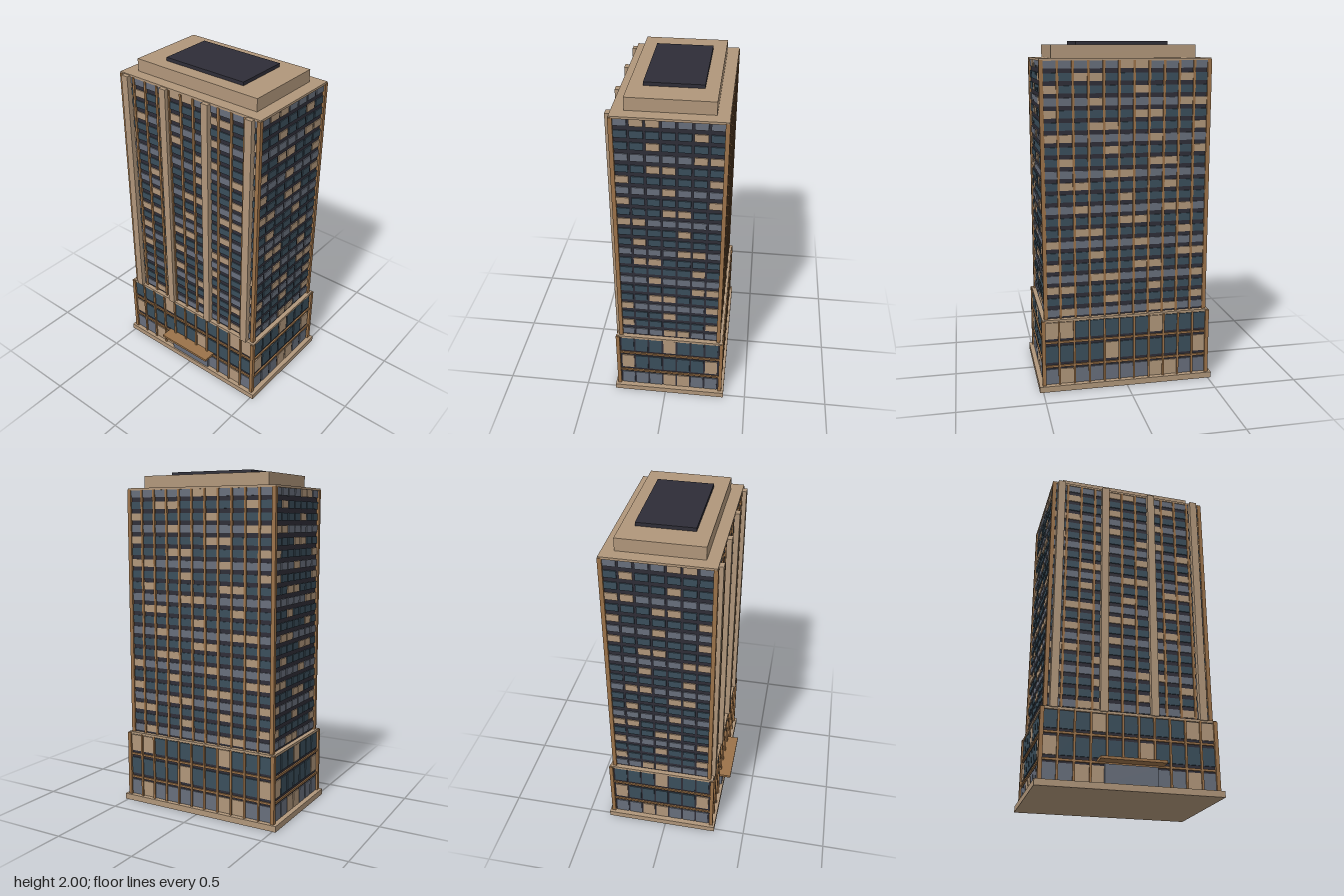
import * as THREE from 'three';
import { mergeGeometries } from 'three/addons/utils/BufferGeometryUtils.js';

const material = (name, color) => {
  const m = new THREE.MeshStandardMaterial({ color });
  m.name = name;
  return m;
};

const ZC = -0.025; // depth centre of the building body

// Box geometry given by its minimum and maximum corners
function box(x0, x1, y0, y1, z0, z1) {
  return new THREE.BoxGeometry(x1 - x0, y1 - y0, z1 - z0)
    .translate((x0 + x1) / 2, (y0 + y1) / 2, (z0 + z1) / 2);
}

// Box centred on the building axis, given by half width and half depth
const slab = (hx, hz, y0, y1) => box(-hx, hx, y0, y1, ZC - hz, ZC + hz);

export function createModel() {
  const group = new THREE.Group();
  group.name = 'officeTower';

  const tan = material('tan stone', 0xb0967a);
  const bronze = material('bronze', 0x9b7249);
  const dark = material('dark wall', 0x2e2d37);
  const glass = material('blue glass', 0x3a4e5b);
  const slate = material('slate glass', 0x676e7b);

  const add = (name, mat, geometries) => {
    const mesh = new THREE.Mesh(mergeGeometries([geometries].flat()), mat);
    mesh.name = name;
    group.add(mesh);
  };

  // Sorts each pane into lit, slate or blue by floor and bay
  const panes = { lit: [], slate: [], blue: [] };
  const paneKind = (floor, bay) => {
    const k = (((4 * bay - floor) % 13) + 13) % 13;
    if (k === 8 || k === 10 || k === 12) return 'lit';
    return floor % 3 === 0 ? 'slate' : 'blue';
  };

  // One floor of thin window panes on all four walls
  function windowFloor(floor, y0, y1, hx, hz, spanX, spanZ, fill) {
    const t = 0.006;
    for (const side of [-1, 1]) {
      const px = spanX / 11;
      for (let c = 0; c < 11; c++) {
        const x = (c - 5) * px, w = px * fill / 2, z = ZC + side * hz;
        panes[paneKind(floor, c)].push(box(x - w, x + w, y0, y1, z - t, z + t));
      }
      const pz = spanZ / 7;
      for (let c = 0; c < 7; c++) {
        const z = ZC + (c - 3) * pz, w = pz * fill / 2, x = side * hx;
        panes[paneKind(floor, c)].push(box(x - t, x + t, y0, y1, z - w, z + w));
      }
    }
  }

  // Four corner posts reaching the given half sizes
  function cornerPosts(hx, hz, y0, y1, s) {
    const out = [];
    for (const sx of [-1, 1]) for (const sz of [-1, 1]) {
      const x = sx * (hx - s / 2), z = ZC + sz * (hz - s / 2);
      out.push(box(x - s / 2, x + s / 2, y0, y1, z - s / 2, z + s / 2));
    }
    return out;
  }

  // Upright fins between the bays of the front and back walls
  function fins(span, hz, depth, w, y0, y1, frontStart = () => y0) {
    const out = [];
    for (const side of [-1, 1]) for (let i = 1; i < 11; i++) {
      const x = (i - 5.5) * span / 11;
      const z = ZC + side * (hz - depth / 2);
      out.push(box(x - w / 2, x + w / 2, side > 0 ? frontStart(x) : y0, y1,
        z - depth / 2, z + depth / 2));
    }
    return out;
  }

  // Base and podium
  add('basePlinth', tan, slab(0.52, 0.34, 0, 0.035));
  add('podiumCore', dark, slab(0.487, 0.31, 0.035, 0.42));
  add('podiumCap', tan, slab(0.497, 0.32, 0.42, 0.435));
  add('podiumPosts', bronze, cornerPosts(0.502, 0.327, 0.035, 0.43, 0.022));
  add('podiumFins', bronze, fins(0.98, 0.325, 0.02, 0.012, 0.035, 0.425,
    x => (Math.abs(x) < 0.17 ? 0.16 : 0.035)));
  add('podiumBands', bronze, [0.148, 0.295].map(y => slab(0.496, 0.319, y - 0.006, y + 0.006)));
  [[0.038, 0.13], [0.172, 0.273], [0.317, 0.416]].forEach(([y0, y1], floor) =>
    windowFloor(floor, y0, y1, 0.487, 0.31, 0.98, 0.6, 0.87));

  // Entrance
  add('entrance', slate, box(-0.148, 0.146, 0.035, 0.14, 0.25, 0.306));
  add('canopy', bronze, box(-0.185, 0.181, 0.15, 0.165, 0.28, 0.365));

  // Tower
  add('towerCore', dark, slab(0.47, 0.293, 0.435, 1.895));
  add('towerPosts', bronze, cornerPosts(0.485, 0.306, 0.435, 1.9, 0.023));
  add('towerFins', bronze, fins(0.945, 0.305, 0.02, 0.014, 0.435, 1.897));
  add('towerCap', tan, slab(0.483, 0.303, 1.895, 1.908));
  const step = 0.067;
  for (let f = 0; f < 22; f++) {
    const y = 0.468 + f * step;
    windowFloor(f, y - 0.021, y + 0.021, 0.47, 0.293, 0.945, 0.581, 0.85);
  }

  // Stone piers on the front of the tower
  add('frontPiers', tan, [-0.43, -0.152, 0.14, 0.424].map(x =>
    box(x - 0.022, x + 0.022, 0.43, 1.903, 0.262, 0.303)));

  // All panes
  add('litWindows', tan, panes.lit);
  add('slateWindows', slate, panes.slate);
  add('blueWindows', glass, panes.blue);

  // Roof
  add('penthouse', tan, slab(0.41, 0.236, 1.905, 1.98));
  add('roofPanel', dark, box(-0.265, 0.263, 1.98, 2, -0.187, 0.133));

  return group;
}
